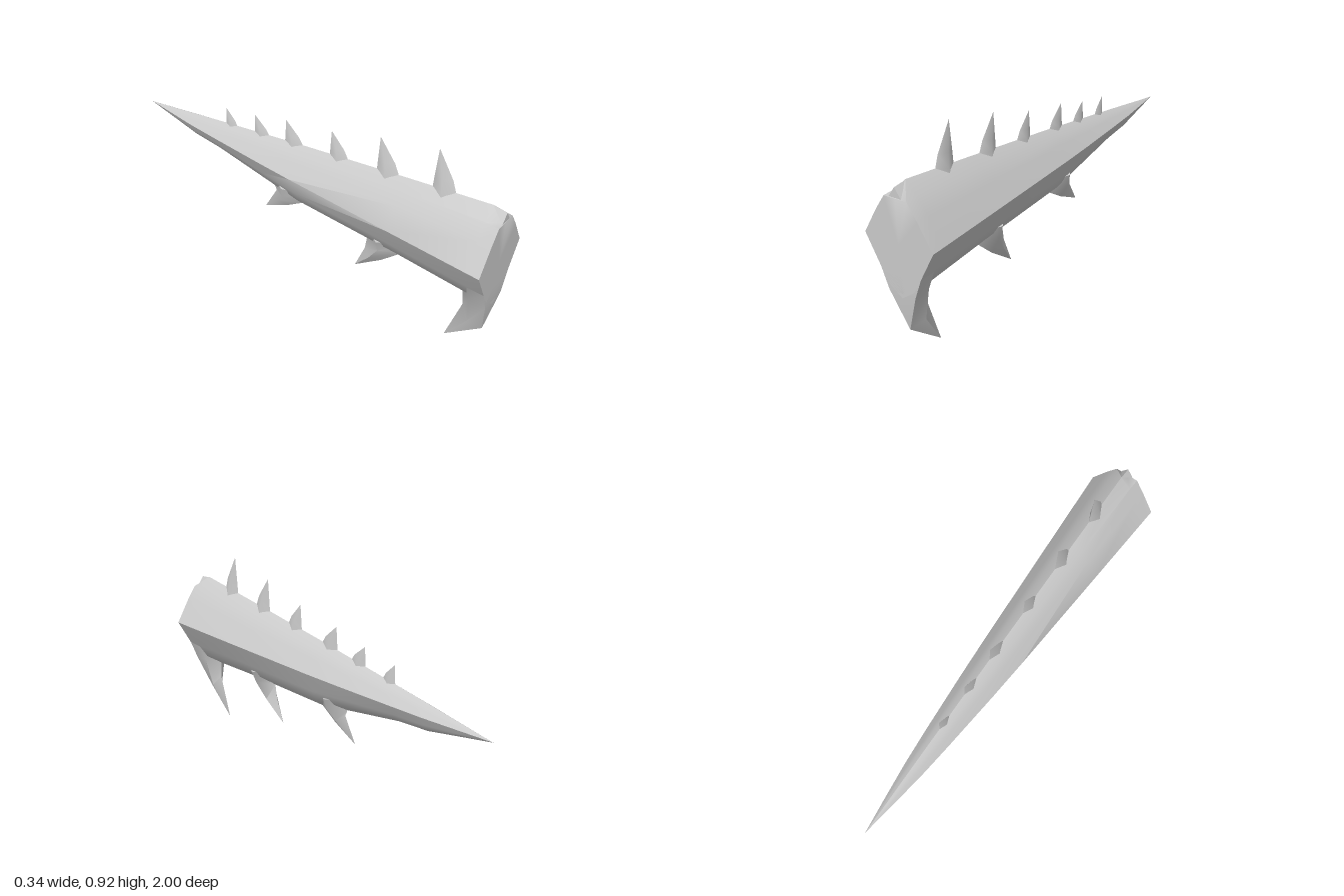
import * as THREE from 'three';
import { toCreasedNormals } from 'three/addons/utils/BufferGeometryUtils.js';

const material = new THREE.MeshStandardMaterial({ color: 0xcccccc, side: THREE.DoubleSide });

// Skins a list of rings (arrays of [x, y, z]) and caps the first one; the winding is fixed by signed volume.
function loft(name, rings, crease = 0.95) {
  const R = rings.map(r => r.map(p => new THREE.Vector3(...p)));
  const n = R[0].length;
  const tris = [];
  const add = (a, b, c) => {
    const area = b.clone().sub(a).cross(c.clone().sub(a)).length();
    if (area > 1e-8) tris.push([a, b, c]);
  };
  const centre = R[0].reduce((s, p) => s.add(p), new THREE.Vector3()).divideScalar(n);
  for (let j = 0; j < n; j++) {
    const k = (j + 1) % n;
    add(centre, R[0][j], R[0][k]);
    for (let i = 0; i < R.length - 1; i++) {
      add(R[i][j], R[i + 1][j], R[i][k]);
      add(R[i][k], R[i + 1][j], R[i + 1][k]);
    }
  }
  const volume = tris.reduce((s, [a, b, c]) =>
    s + a.clone().sub(centre).dot(b.clone().sub(centre).cross(c.clone().sub(centre))), 0);
  const pos = [];
  for (const [a, b, c] of tris)
    for (const p of volume < 0 ? [a, c, b] : [a, b, c]) pos.push(p.x, p.y, p.z);
  const geometry = new THREE.BufferGeometry();
  geometry.setAttribute('position', new THREE.Float32BufferAttribute(pos, 3));
  const mesh = new THREE.Mesh(toCreasedNormals(geometry, crease), material);
  mesh.name = name;
  return mesh;
}

// Kite-shaped rings for a spike; each row is [frontZ, frontY, backZ, backY, halfWidth].
function spike(name, rows) {
  return loft(name, rows.map(([fz, fy, bz, by, w]) => {
    const z = (fz + bz) / 2, y = (fy + by) / 2;
    return [[0, fy, fz], [w, y, z], [0, by, bz], [-w, y, z]];
  }), 1.2);
}

// Body cross-section: relative width and height of the right half, from top to bottom
const half = [[0, 1], [0.33, 0.78], [0.6, 0.49], [1, 0], [0.6, -0.53], [0.36, -0.82], [0, -1]];
const outline = [...half, ...half.slice(1, -1).reverse().map(([x, y]) => [-x, y])];

function bodyRing([z, w, top, mid, bottom], ridge = top) {
  return outline.map(([x, y], i) => [
    x * w, i === 0 ? ridge : mid + y * (y > 0 ? top - mid : mid - bottom), z]);
}

export function createModel() {
  const group = new THREE.Group();
  group.name = 'spikedTail';

  // Tapering body: z, half width, top, widest height, bottom
  const stations = [
    [1, 0.168, 0.755, 0.527, 0.29],
    [0.94, 0.164, 0.76, 0.527, 0.292],
    [0.55, 0.139, 0.722, 0.53, 0.322],
    [0, 0.103, 0.666, 0.535, 0.35],
    [-0.2, 0.088, 0.643, 0.538, 0.392],
    [-0.5, 0.062, 0.609, 0.543, 0.453],
    [-0.67, 0.045, 0.589, 0.545, 0.472],
    [-0.85, 0.021, 0.567, 0.548, 0.515],
    [-1, 0, 0.55, 0.55, 0.55],
  ];
  group.add(loft('body', stations.map((s, i) => bodyRing(s, i === 0 ? 0.705 : s[2]))));

  // Small ridge over the notch at the front of the back
  group.add(loft('frontRidge', [
    [[0, 0.75, 1], [-0.03, 0.708, 1], [0.03, 0.708, 1]],
    [[0, 0.757, 0.94], [0, 0.757, 0.94], [0, 0.757, 0.94]],
  ]));

  // Row of spikes on the back: frontZ, frontY, backZ, backY, tipZ, tipY, halfWidth
  const dorsal = [
    [0.78, 0.735, 0.67, 0.73, 0.685, 0.915, 0.024],
    [0.51, 0.715, 0.4, 0.703, 0.41, 0.865, 0.022],
    [0.25, 0.69, 0.152, 0.68, 0.16, 0.8, 0.018],
    [0, 0.665, -0.103, 0.653, -0.095, 0.762, 0.016],
    [-0.2, 0.643, -0.288, 0.632, -0.283, 0.722, 0.014],
    [-0.4, 0.62, -0.472, 0.611, -0.465, 0.695, 0.012],
  ];
  dorsal.forEach(([fz, fy, bz, by, tz, ty, w], i) => {
    const h = ty - fy;
    group.add(spike(`backSpike${i + 1}`, [
      [fz + 0.01, fy - 0.04, bz - 0.005, by - 0.04, w * 1.3],
      [fz, fy, bz, by, w],
      [fz - 0.22 * (fz - tz), fy + h * 0.33, bz + 0.3 * (tz - bz), by + h * 0.33, w * 0.7],
      [tz, ty, tz, ty, 0],
    ]));
  });

  // Two hooked spikes underneath
  group.add(spike('bellySpike1', [
    [0.58, 0.39, 0.35, 0.39, 0.075],
    [0.55, 0.324, 0.37, 0.332, 0.053],
    [0.45, 0.237, 0.36, 0.262, 0.033],
    [0.31, 0.14, 0.31, 0.14, 0],
  ]));
  group.add(spike('bellySpike2', [
    [0.03, 0.41, -0.19, 0.44, 0.06],
    [0, 0.35, -0.178, 0.39, 0.045],
    [-0.09, 0.297, -0.16, 0.355, 0.028],
    [-0.23, 0.235, -0.23, 0.235, 0],
  ]));

  // Large front fang continuing the flat front face downwards
  const fangRing = (fx, fy, fz, sx, sy, sz, by, bz) =>
    [[fx, fy, fz], [sx, sy, sz], [0, by, bz], [-sx, sy, sz], [-fx, fy, fz]];
  group.add(loft('frontFang', [
    fangRing(0.1, 0.4, 1, 0.095, 0.4, 0.92, 0.36, 0.84),
    fangRing(0.066, 0.31, 1, 0.062, 0.31, 0.92, 0.295, 0.86),
    fangRing(0, 0.135, 0.972, 0.029, 0.16, 0.91, 0.215, 0.87),
    fangRing(0, 0, 0.8, 0, 0, 0.8, 0, 0.8),
  ]));

  return group;
}
